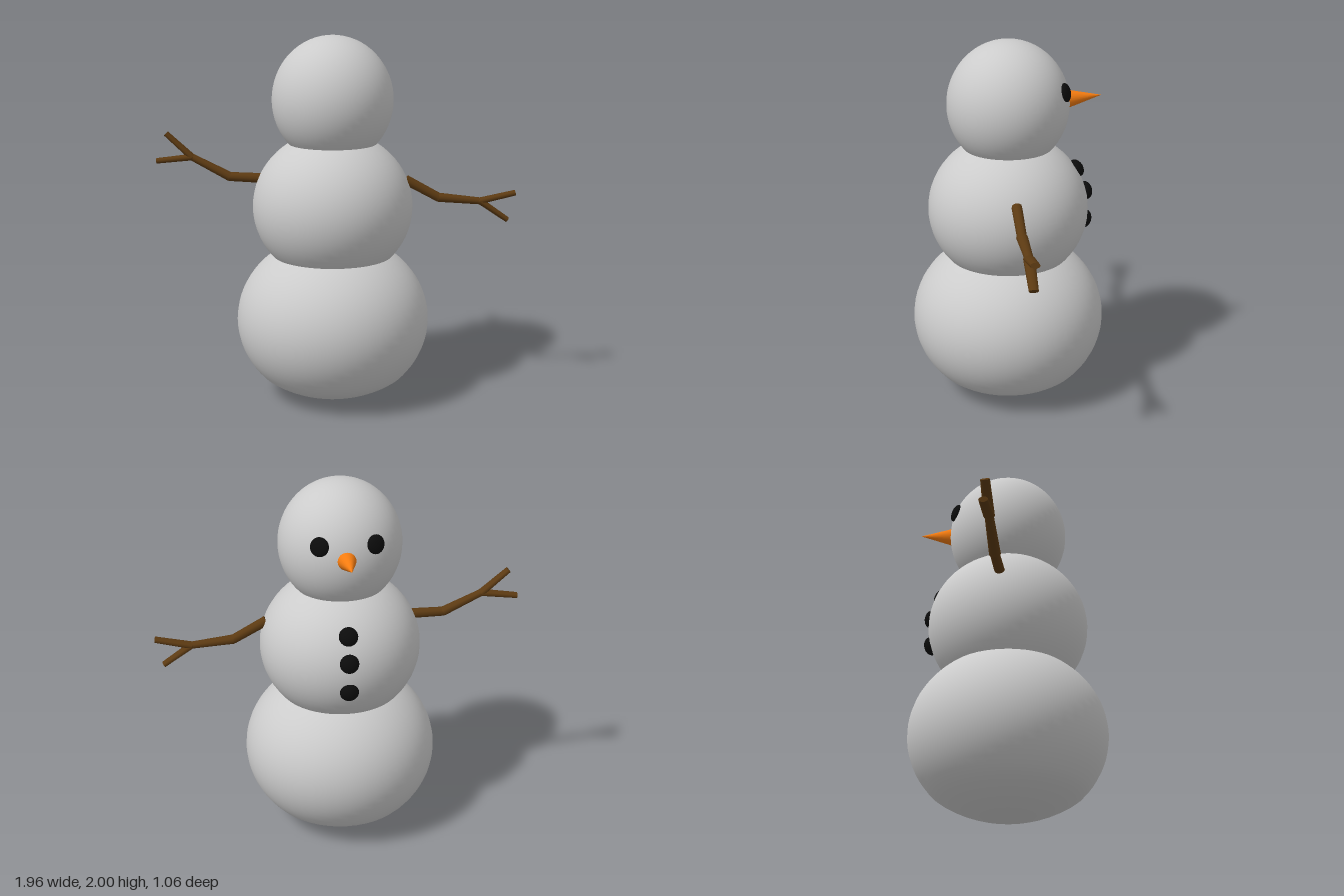
import * as THREE from 'three';

const CX = -0.017; // axis of the snow body
const material = (color) => new THREE.MeshStandardMaterial({ color });
const snow = material(0xcccccc);
const coal = material(0x0c0c0c);
const wood = material(0x5c3a12);
const carrot = material(0xf57c10);

export function createModel() {
  const model = new THREE.Group();
  model.name = 'snowman';

  const add = (parent, name, geometry, mat) => {
    const mesh = new THREE.Mesh(geometry, mat);
    mesh.name = name;
    parent.add(mesh);
    return mesh;
  };

  // Upper snowballs: slightly squashed or stretched spheres
  const balls = {
    head: { y: 1.656, r: 0.327, ry: 0.344 },
    torso: { y: 1.075, r: 0.436, ry: 0.412 },
  };
  for (const [name, b] of Object.entries(balls)) {
    const ball = add(model, name, new THREE.SphereGeometry(1, 48, 32), snow);
    ball.scale.set(b.r, b.ry, b.r);
    ball.position.set(CX, b.y, 0);
  }

  // Base snowball: shallow dome underneath, ellipse above
  const profile = [];
  const rimR = 0.4, rimY = 0.13;
  const domeR = (rimR * rimR + rimY * rimY) / (2 * rimY);
  for (let i = 0; i < 10; i++) {
    const r = (rimR * i) / 10;
    profile.push(new THREE.Vector2(r, domeR - Math.sqrt(domeR * domeR - r * r)));
  }
  const start = Math.asin((rimY - 0.44) / 0.468);
  for (let i = 0; i <= 28; i++) {
    const a = start + ((Math.PI / 2 - start) * i) / 28;
    profile.push(new THREE.Vector2(Math.max(0, 0.53 * Math.cos(a)), 0.44 + 0.468 * Math.sin(a)));
  }
  add(model, 'base', new THREE.LatheGeometry(profile, 48), snow).position.x = CX;

  // Coal lumps: flattened spheres lying on the surface of a snowball
  const lump = (name, b, x, y, thickness) => {
    const dx = x - CX, dy = y - b.y;
    const z = -Math.sqrt(b.r * b.r * (1 - (dy / b.ry) ** 2) - dx * dx);
    const mesh = add(model, name, new THREE.SphereGeometry(1, 20, 14), coal);
    mesh.scale.set(0.05, 0.05, thickness);
    mesh.position.set(x, y, z);
    const normal = new THREE.Vector3(dx / b.r ** 2, dy / b.ry ** 2, z / b.r ** 2).normalize();
    mesh.quaternion.setFromUnitVectors(new THREE.Vector3(0, 0, -1), normal);
  };
  lump('rightEye', balls.head, -0.167, 1.745, 0.024);
  lump('leftEye', balls.head, 0.117, 1.745, 0.024);
  [1.285, 1.155, 0.99].forEach((y, i) => lump('button' + (i + 1), balls.torso, -0.02, y, 0.036));

  const UP = new THREE.Vector3(0, 1, 0);
  const between = (mesh, a, b) => {
    mesh.position.copy(a).add(b).multiplyScalar(0.5);
    mesh.quaternion.setFromUnitVectors(UP, b.clone().sub(a).normalize());
  };

  // Carrot nose, sunk a little into the head
  const noseBase = new THREE.Vector3(-0.017, 1.675, -0.305);
  const noseTip = new THREE.Vector3(-0.021, 1.691, -0.5);
  const nose = add(model, 'nose',
    new THREE.ConeGeometry(0.052, noseBase.distanceTo(noseTip), 24), carrot);
  between(nose, noseBase, noseTip);

  // Twig arms: tapered sticks, deeper in z than tall, rounded at the joints
  const stick = (arm, name, a, b, ra, rb) => {
    const mesh = add(arm, name, new THREE.CylinderGeometry(rb, ra, a.distanceTo(b), 10), wood);
    mesh.scale.z = 0.027 / ((ra + rb) / 2);
    between(mesh, a, b);
  };
  const joint = (arm, p, r) => {
    const mesh = add(arm, 'joint', new THREE.SphereGeometry(r, 10, 8), wood);
    mesh.scale.z = 0.026 / r;
    mesh.position.copy(p);
  };
  const buildArm = (name, points) => {
    const arm = new THREE.Group();
    arm.name = name;
    const [shoulder, elbow, wrist, twigA, twigB] = points.map((p) => new THREE.Vector3(...p));
    stick(arm, 'upperArm', shoulder, elbow, 0.027, 0.025);
    stick(arm, 'forearm', elbow, wrist, 0.025, 0.019);
    stick(arm, 'upperTwig', wrist, twigA, 0.018, 0.015);
    stick(arm, 'lowerTwig', wrist, twigB, 0.018, 0.015);
    joint(arm, elbow, 0.025);
    joint(arm, wrist, 0.019);
    model.add(arm);
  };
  buildArm('rightArm', [
    [-0.41, 1.226, -0.003], [-0.58, 1.232, -0.009], [-0.785, 1.337, -0.016],
    [-0.925, 1.465, -0.021], [-0.98, 1.314, -0.022],
  ]);
  buildArm('leftArm', [
    [0.38, 1.222, -0.003], [0.56, 1.124, -0.01], [0.785, 1.104, -0.018],
    [0.977, 1.15, -0.024], [0.937, 1.0, -0.023],
  ]);

  return model;
}
